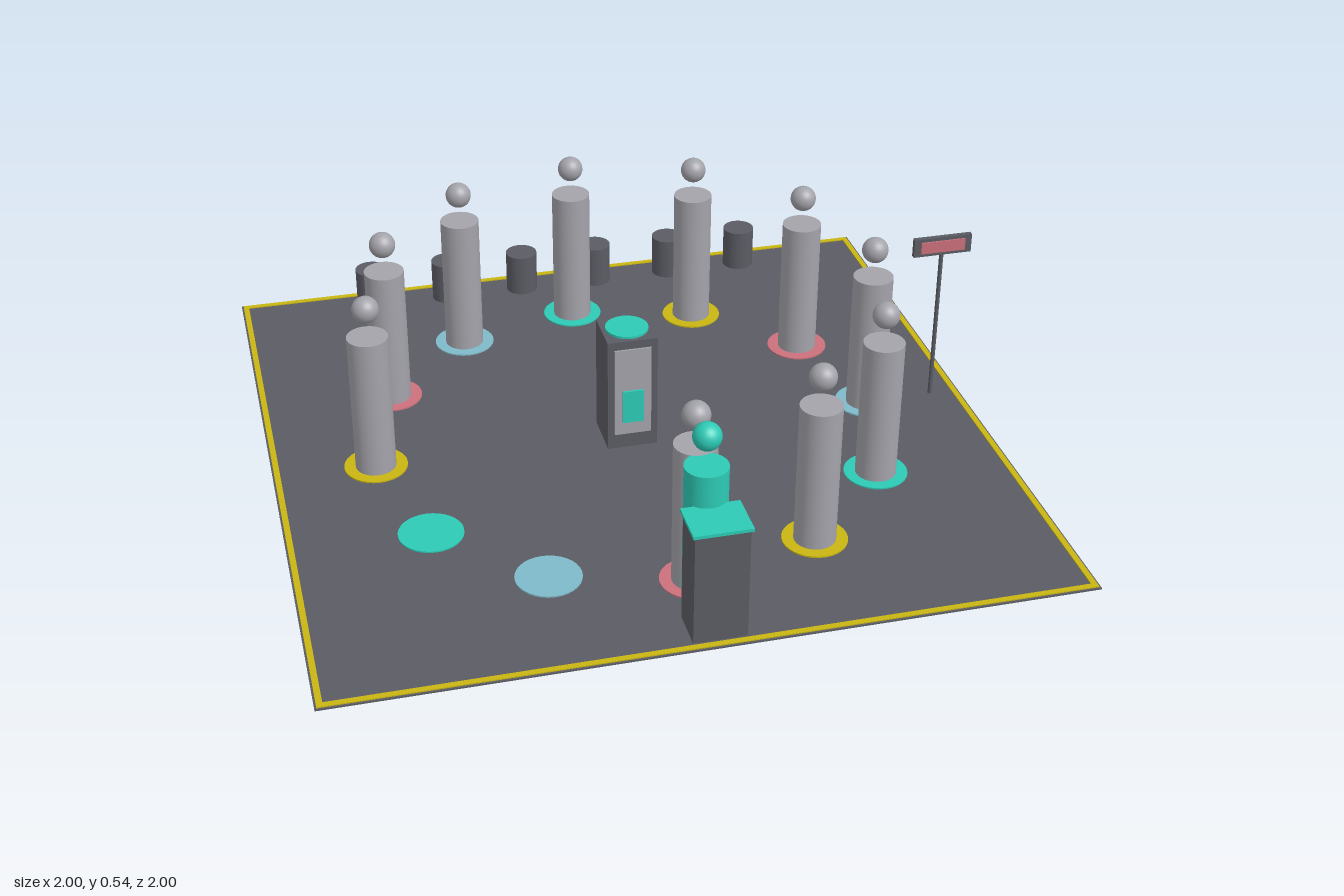
import * as THREE from 'three';

const mat = (name, color) => {
  const m = new THREE.MeshStandardMaterial({ color });
  m.name = name;
  return m;
};

export function createModel() {
  const root = new THREE.Group();
  root.name = 'queueHall';
  const dark = mat('charcoal', 0x5b5c64);
  const grey = mat('grey', 0xa3a3aa);
  const teal = mat('teal', 0x2dcab5);
  const yellow = mat('yellow', 0xc8b512);
  const red = mat('rose', 0xcb707b);
  const blue = mat('paleBlue', 0x7fbaca);

  const add = (name, geometry, material, x, y, z, parent = root) => {
    const mesh = new THREE.Mesh(geometry, material);
    mesh.name = name;
    mesh.position.set(x, y, z);
    parent.add(mesh);
    return mesh;
  };
  // Boxes and cylinders are placed by the height of their underside
  const box = (name, w, h, d, material, x, y, z, parent) =>
    add(name, new THREE.BoxGeometry(w, h, d), material, x, y + h / 2, z, parent);
  const drum = (name, r, h, material, x, y, z, parent) =>
    add(name, new THREE.CylinderGeometry(r, r, h, 32), material, x, y + h / 2, z, parent);

  // Floor with a painted border
  const F = 0.004;
  box('floor', 2, F, 2, dark, 0, 0, 0);
  for (const s of [-1, 1]) {
    box('borderStripe', 1.99, 0.003, 0.016, yellow, 0, F, s * 0.987);
    box('borderStripe', 0.016, 0.003, 1.958, yellow, s * 0.987, F, 0);
  }

  // Standing figure: plain column body with a floating round head
  const figure = (name, material, x, z) => {
    const g = new THREE.Group();
    g.name = name;
    g.position.set(x, 0, z);
    root.add(g);
    drum('body', 0.0565, 0.417 - F, material, 0, F, 0, g);
    add('head', new THREE.SphereGeometry(0.037, 24, 16), material, 0, 0.5, 0, g);
  };

  // Ring of twelve floor spots, two of them empty
  const cycle = [blue, teal, yellow, red];
  for (let i = 0; i < 12; i++) {
    const a = (i * Math.PI) / 6;
    const x = 0.715 * Math.cos(a), z = 0.715 * Math.sin(a);
    drum('floorSpot', 0.088, 0.004, cycle[i % 4], x, F, z);
    if (i !== 4 && i !== 5) figure('visitor', grey, x, z);
  }

  // Attendant behind a counter
  figure('attendant', teal, 0, 0.815);
  box('counter', 0.14, 0.315, 0.112, dark, 0, F, 0.915);
  box('counterTop', 0.152, 0.009, 0.124, teal, 0, 0.319, 0.915);

  // Central kiosk with front panel, screen and top light
  box('kiosk', 0.142, 0.341, 0.142, dark, 0, F, 0);
  box('kioskPanel', 0.104, 0.27, 0.006, grey, 0, 0.05, 0.073);
  box('kioskScreen', 0.06, 0.1, 0.006, teal, 0, 0.09, 0.079);
  drum('kioskLight', 0.06, 0.007, teal, 0, 0.345, 0);

  // Row of stools along the back
  for (let i = 0; i < 6; i++) {
    drum('stool', 0.048, 0.127, dark, -0.597 + i * 0.2385, F, -0.915);
  }

  // Sign on a thin pole
  drum('signPole', 0.006, 0.466, dark, 0.914, F, 0);
  box('signBoard', 0.17, 0.055, 0.014, dark, 0.914, 0.464, 0);
  box('signFace', 0.13, 0.035, 0.004, red, 0.914, 0.474, 0.009);

  return root;
}
